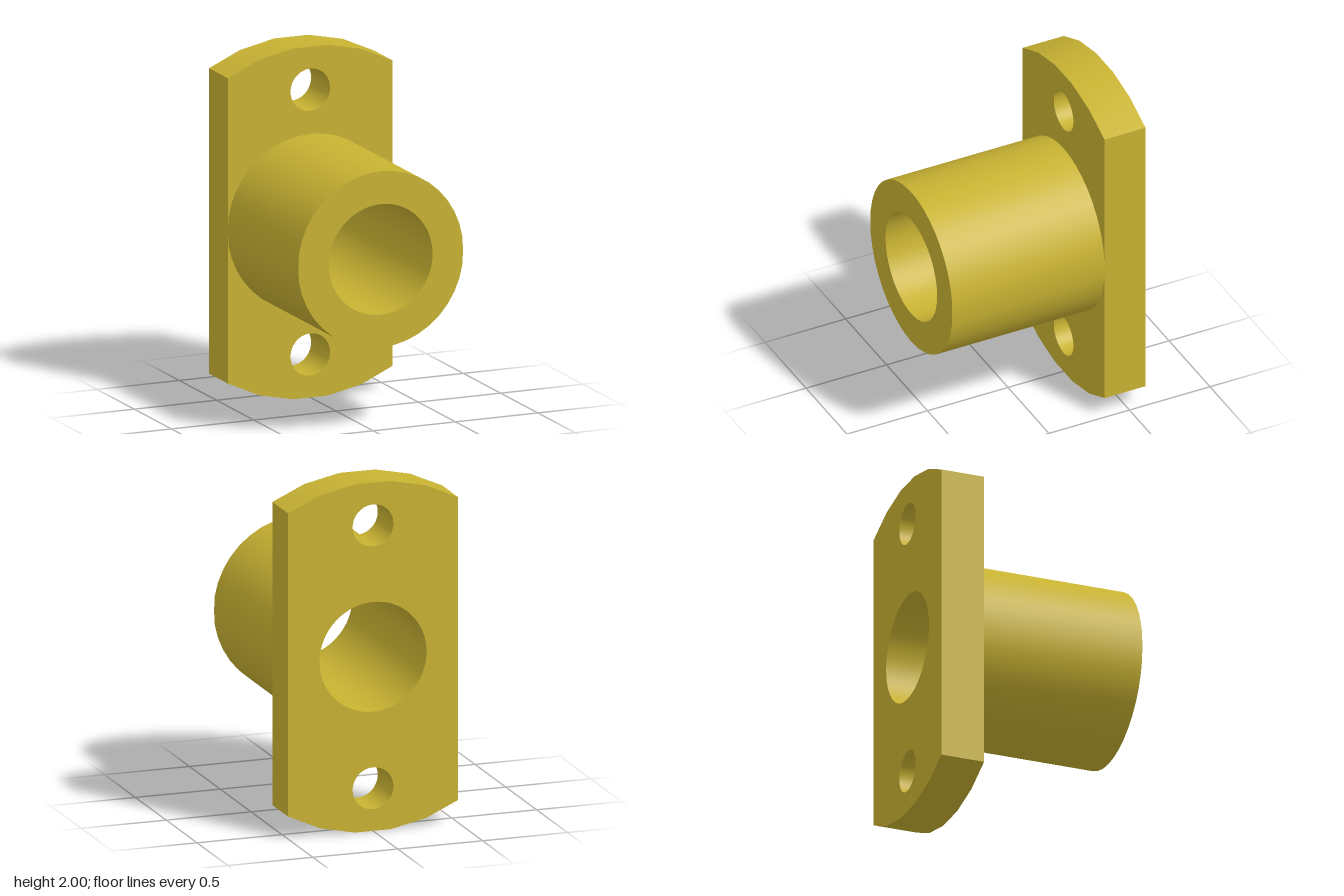
import * as THREE from 'three';
import { toCreasedNormals } from 'three/addons/utils/BufferGeometryUtils.js';

const HALF_WIDTH = 0.5, BORE = 0.315, BACK = -0.6, STEP = -0.345, FRONT = 0.6;

// Point on a circle, trimmed flat at the part's sides
function trimmedPoint(radius, degrees) {
  const a = THREE.MathUtils.degToRad(degrees);
  const x = THREE.MathUtils.clamp(radius * Math.cos(a), -HALF_WIDTH, HALF_WIDTH);
  return new THREE.Vector2(x, radius * Math.sin(a));
}

function addHole(shape, y, radius) {
  const hole = new THREE.Path();
  hole.absarc(0, y, radius, 0, Math.PI * 2, true);
  shape.holes.push(hole);
}

// Extrude along z between two depths, smooth on the curves and sharp at the rims
function extrudePart(name, shape, zStart, zEnd, material) {
  const geometry = new THREE.ExtrudeGeometry(shape, {
    depth: zEnd - zStart, bevelEnabled: false, curveSegments: 40,
  });
  geometry.translate(0, 1, zStart);
  const mesh = new THREE.Mesh(toCreasedNormals(geometry, 0.5), material);
  mesh.name = name;
  return mesh;
}

export function createModel() {
  const brass = new THREE.MeshStandardMaterial({ color: 0xc8b232 });
  brass.name = 'brass';
  const group = new THREE.Group();
  group.name = 'flangedBushing';

  // Flange: straight sides with faceted arcs at top and bottom
  const outline = [];
  for (const start of [60, 240]) {
    for (let i = 0; i <= 5; i++) outline.push(trimmedPoint(1.0055, start + i * 12));
  }
  const flange = new THREE.Shape(outline);
  addHole(flange, 0, BORE);
  for (const side of [-1, 1]) addHole(flange, side * 0.755, 0.12);
  group.add(extrudePart('flange', flange, BACK, STEP, brass));

  // Sleeve: round tube projecting forward
  const ring = [];
  for (let i = 0; i < 40; i++) ring.push(trimmedPoint(0.503, i * 9));
  const sleeve = new THREE.Shape(ring);
  addHole(sleeve, 0, BORE);
  group.add(extrudePart('sleeve', sleeve, STEP, FRONT, brass));

  return group;
}
